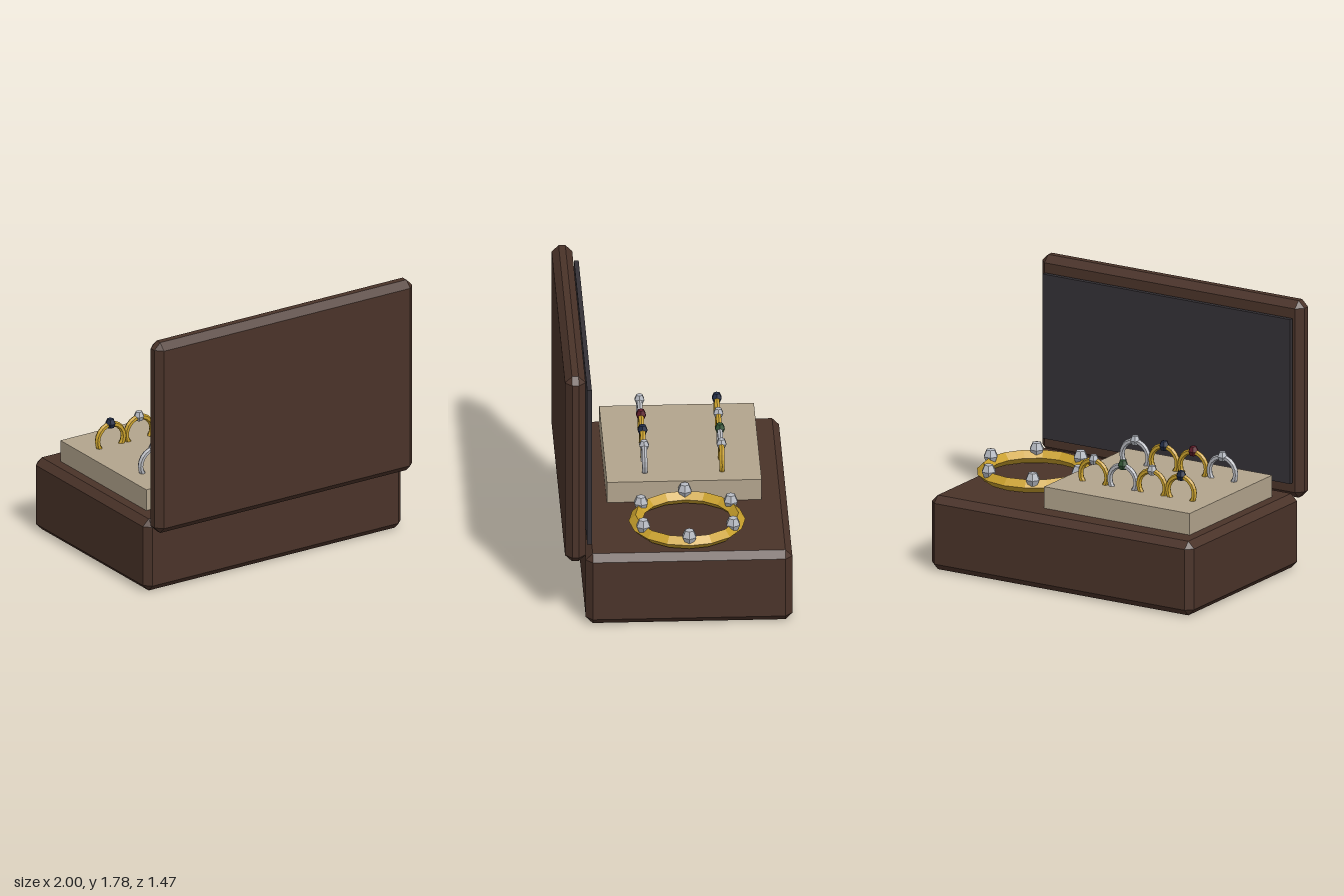
import * as THREE from 'three';
import { ConvexGeometry } from 'three/addons/geometries/ConvexGeometry.js';

const material = (color) => new THREE.MeshStandardMaterial({ color, flatShading: true });
const wood = material(0x4a3329);
const velvet = material(0x343136);
const cushion = material(0xb3a58d);
const gold = material(0xc9a02c);
const silver = material(0xb4b6bc);
const clear = material(0xb4b8c0);
const blue = material(0x1f2a44);
const green = material(0x2f5233);
const red = material(0x5c1a28);

function add(parent, name, geometry, mat, x = 0, y = 0, z = 0) {
  const mesh = new THREE.Mesh(geometry, mat);
  mesh.name = name;
  mesh.position.set(x, y, z);
  parent.add(mesh);
  return mesh;
}

// Box with every edge and corner cut at 45 degrees
function chamferedBox(w, h, d, c) {
  const points = [];
  for (const sx of [-1, 1]) for (const sy of [-1, 1]) for (const sz of [-1, 1]) {
    for (let axis = 0; axis < 3; axis++) {
      const inset = [c, c, c];
      inset[axis] = 0;
      points.push(new THREE.Vector3(
        sx * (w / 2 - inset[0]), sy * (h / 2 - inset[1]), sz * (d / 2 - inset[2])));
    }
  }
  return new ConvexGeometry(points);
}

// Six-sided faceted stone with a flattened crown
function gemGeometry(r) {
  const profile = [[0, -1], [0.65, -0.8], [1, 0], [0.6, 0.87], [0, 1]];
  const geometry = new THREE.LatheGeometry(
    profile.map(([x, y]) => new THREE.Vector2(x * r, y * r)), 6);
  return geometry.rotateY(Math.PI / 2);
}

export function createModel() {
  const model = new THREE.Group();
  model.name = 'jewelleryBox';

  // Case and upright lid
  add(model, 'base', chamferedBox(2, 0.5, 1.335, 0.045), wood, 0, 0.25, -0.0675);
  add(model, 'lid', chamferedBox(2, 1.33, 0.133, 0.045), wood, 0, 1.113, 0.6675);
  add(model, 'lidLining', new THREE.BoxGeometry(1.89, 1.11, 0.03), velvet, 0, 1.115, 0.575);

  // Ring cushion
  add(model, 'ringCushion', new THREE.BoxGeometry(1.11, 0.15, 1), cushion, -0.335, 0.57, -0.07);

  // Two rows of rings, half sunk in the cushion
  const bandGeometry = new THREE.TorusGeometry(0.1, 0.019, 6, 20);
  const ringGem = gemGeometry(0.036);
  const rows = [
    { z: -0.32, rings: [[gold, blue], [gold, clear], [silver, green], [gold, clear]] },
    { z: 0.18, rings: [[silver, clear], [gold, red], [gold, blue], [silver, clear]] },
  ];
  for (const { z, rings } of rows) {
    rings.forEach(([metal, stone], i) => {
      const ring = new THREE.Group();
      ring.name = 'ring';
      ring.position.set(-0.668 + i * 0.222, 0.695, z);
      add(ring, 'ringBand', bandGeometry, metal);
      add(ring, 'ringStone', ringGem, stone, 0, 0.105, 0);
      model.add(ring);
    });
  }

  // Bracelet lying flat with six stones
  const bracelet = new THREE.Group();
  bracelet.name = 'bracelet';
  bracelet.position.set(0.607, 0.557, -0.07);
  const bangle = new THREE.TorusGeometry(0.333, 0.044, 4, 16).rotateX(-Math.PI / 2);
  add(bracelet, 'braceletBand', bangle, gold);
  const braceletGem = gemGeometry(0.05);
  for (let i = 0; i < 6; i++) {
    const a = (i * Math.PI) / 3;
    add(bracelet, 'braceletStone', braceletGem, clear,
      0.335 * Math.cos(a), 0.048, 0.335 * Math.sin(a));
  }
  model.add(bracelet);

  return model;
}
